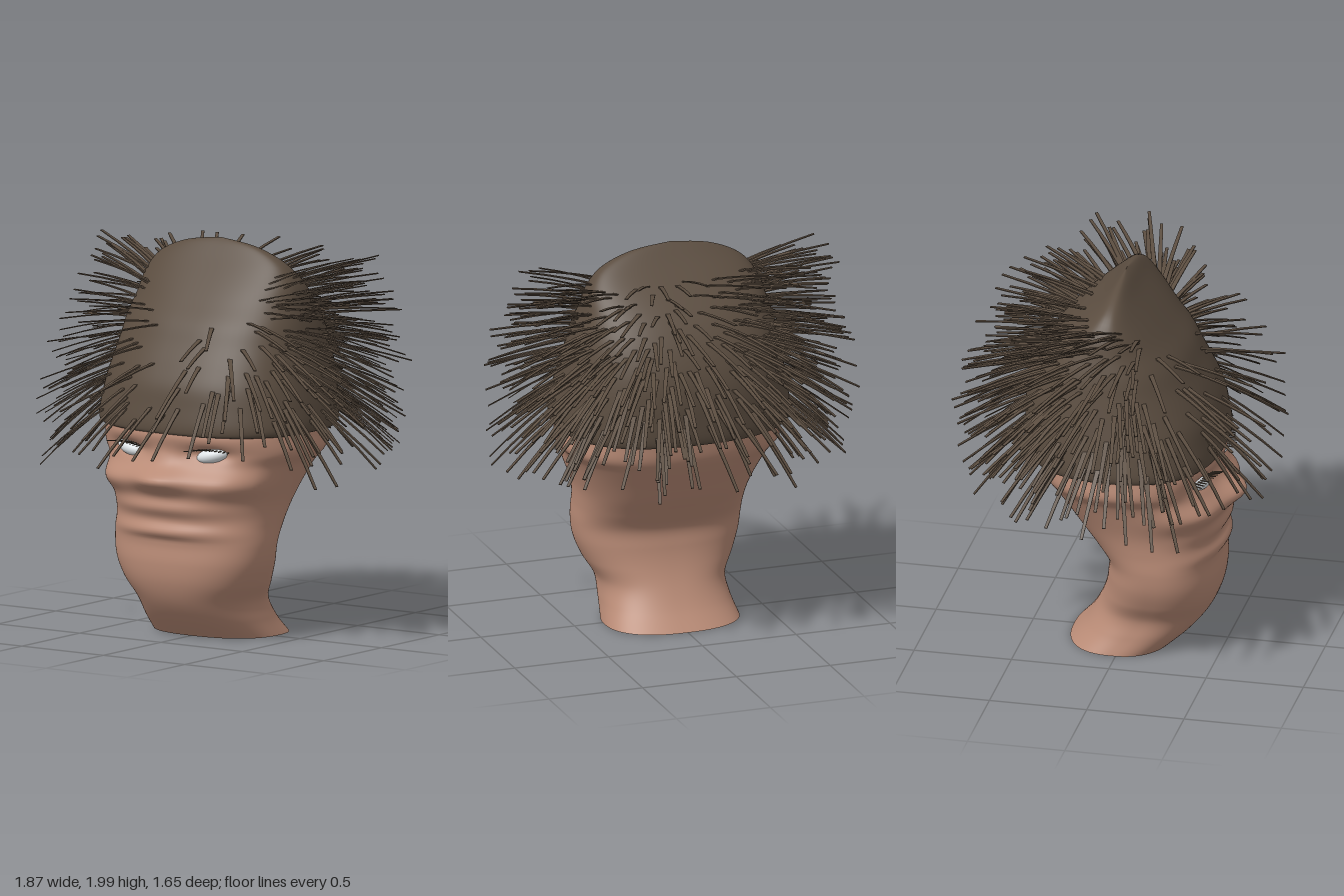
import * as THREE from 'three';
import { mergeGeometries } from 'three/addons/utils/BufferGeometryUtils.js';

const mat = (name, color, side = THREE.FrontSide) => {
  const m = new THREE.MeshStandardMaterial({ color, side });
  m.name = name;
  return m;
};

let seed = 7;
const rand = () => {
  seed = (seed * 16807) % 2147483647;
  return seed / 2147483647;
};

// Smooth interpolation through rows of [y, halfWidth, zFront, zBack]
function sampleRows(rows, t) {
  const i = Math.min(Math.floor(t), rows.length - 2), f = t - i;
  const at = k => rows[Math.max(0, Math.min(rows.length - 1, k))];
  const [a, b, c, d] = [at(i - 1), at(i), at(i + 1), at(i + 2)];
  return b.map((_, k) => 0.5 * (2 * b[k] + (c[k] - a[k]) * f
    + (2 * a[k] - 5 * b[k] + 4 * c[k] - d[k]) * f * f
    + (3 * b[k] - a[k] - 3 * c[k] + d[k]) * f * f * f));
}

// Point on the squarish oval section at angle a (0 = front, +x at 90 degrees)
function surfacePoint(rows, t, a, n) {
  const [y, w, zf, zb] = sampleRows(rows, t);
  const pw = v => Math.sign(v) * Math.pow(Math.abs(v), 2 / n);
  const mid = (zf + zb) / 2;
  return new THREE.Vector3(Math.max(w, 0) * pw(Math.sin(a)), y, mid + (zf - zb) / 2 * pw(Math.cos(a)));
}

function loft(rows, n, perRow, sides, shape = p => p) {
  const pos = [], idx = [], steps = (rows.length - 1) * perRow;
  for (let i = 0; i <= steps; i++)
    for (let j = 0; j < sides; j++)
      pos.push(...shape(surfacePoint(rows, i / perRow, j / sides * Math.PI * 2, n)));
  for (let i = 0; i < steps; i++)
    for (let j = 0; j < sides; j++) {
      const k = (j + 1) % sides, a = i * sides + j, b = i * sides + k;
      idx.push(a, b, a + sides, b, b + sides, a + sides);
    }
  const g = new THREE.BufferGeometry();
  g.setAttribute('position', new THREE.Float32BufferAttribute(pos, 3));
  g.setIndex(idx);
  g.computeVertexNormals();
  return g;
}

const headRows = [
  [0.01, 0.35, 0.24, -0.29], [0.1, 0.33, 0.34, -0.21], [0.2, 0.325, 0.42, -0.15],
  [0.3, 0.38, 0.465, -0.11], [0.4, 0.42, 0.48, -0.09], [0.5, 0.435, 0.475, -0.09],
  [0.6, 0.435, 0.475, -0.16], [0.7, 0.445, 0.475, -0.24], [0.8, 0.475, 0.475, -0.31],
  [0.9, 0.515, 0.465, -0.38], [0.97, 0.565, 0.46, -0.42], [1.05, 0.56, 0.48, -0.44],
  [1.12, 0.55, 0.46, -0.45],
];

const capRows = [
  [1.085, 0.5, 0.4, -0.4], [1.065, 0.57, 0.475, -0.47], [1.1, 0.6, 0.49, -0.495],
  [1.2, 0.59, 0.475, -0.505], [1.3, 0.57, 0.455, -0.51], [1.4, 0.55, 0.41, -0.5],
  [1.5, 0.53, 0.355, -0.47], [1.6, 0.51, 0.3, -0.42], [1.7, 0.48, 0.22, -0.345],
  [1.8, 0.45, 0.14, -0.24], [1.9, 0.37, 0.06, -0.12], [1.97, 0.21, 0.01, -0.05],
  [2.0, 0, -0.02, -0.02],
];

// Nose, cheeks, lips, bridge, eye sockets: [x, y, spreadX, spreadY, depth]
const features = [
  [0, 0.84, 0.15, 0.06, 0.09], [0, 0.81, 0.3, 0.075, 0.035],
  [0.34, 0.82, 0.17, 0.075, 0.055], [-0.34, 0.82, 0.17, 0.075, 0.055],
  [0, 0.69, 0.36, 0.045, 0.035], [0, 0.57, 0.32, 0.04, 0.032],
  [0, 0.53, 0.2, 0.015, -0.005], [0, 0.94, 0.06, 0.05, 0.02],
  [0.25, 0.975, 0.1, 0.035, -0.03], [-0.25, 0.975, 0.1, 0.035, -0.03],
];

function sculptFace(p) {
  if (p.z < 0.08) return p;
  const fade = Math.min(1, (p.z - 0.08) / 0.2);
  const { x, y } = p;
  for (const [fx, fy, sx, sy, d] of features) {
    const bump = fade * d * Math.exp(-(((x - fx) / sx) ** 2) - ((y - fy) / sy) ** 2);
    p.z += bump;
    p.x += bump * Math.sign(fx) * 0.4;
  }
  return p;
}

// Flat tapering strand pointing along dir, drooping slightly
function strand(root, dir, length, width, thick, droop) {
  const g = new THREE.BoxGeometry(width, thick, length, 1, 1, 3).translate(0, 0, length / 2);
  const p = g.attributes.position;
  for (let i = 0; i < p.count; i++) {
    const t = p.getZ(i) / length;
    p.setX(i, p.getX(i) * (1 - 0.35 * t));
    p.setY(i, p.getY(i) * (1 - 0.35 * t) - droop * t * t);
  }
  g.computeVertexNormals();
  const m = new THREE.Matrix4().lookAt(dir, new THREE.Vector3(), new THREE.Vector3(0, 1, 0));
  return g.applyMatrix4(m.setPosition(root));
}

function hairGeometry() {
  const strands = [], rings = 15, perRing = 46;
  for (let r = 0; r < rings; r++)
    for (let j = 0; j < perRing; j++) {
      const a = (j + rand()) / perRing * Math.PI * 2;
      const t = 2.2 + (r + rand()) / rings * 7.3;
      const root = surfacePoint(capRows, t, a, 2.5);
      const keep = rand();
      // bare front slope, narrowing towards the fringe
      if (root.z > -0.03 && Math.abs(root.x) < 0.42 - 0.9 * root.z) continue;
      if (keep > (Math.cos(a) > 0.55 ? 0.36 : 0.86)) continue;
      const h = (root.y - 1.1) / 0.75;
      const dir = new THREE.Vector3(root.x / 0.6, 0, (root.z + 0.01) / 0.5).normalize();
      dir.x += (rand() - 0.5) * 0.2;
      // upper strands sweep backwards
      dir.z += (rand() - 0.5) * 0.2 - Math.max(0, h - 0.6) * 1.1;
      dir.y = -0.85 + h * 1.3 + (rand() - 0.5) * 0.25;
      dir.normalize();
      const len = 0.3 + rand() * 0.15;
      if (root.y + dir.y * len > 1.99) dir.y = (1.99 - root.y) / len;
      root.addScaledVector(dir, -0.03);
      strands.push(strand(root, dir, len, 0.024, 0.007, 0.025));
    }
  return mergeGeometries(strands);
}

function lashGeometry(side) {
  const lashes = [];
  for (let i = 0; i < 11; i++) {
    const u = i / 10 * 2 - 1;
    const root = new THREE.Vector3(side * 0.25 + u * 0.09, 1.0 - 0.01 * u * u, 0.425 - 0.03 * side * u);
    const dir = new THREE.Vector3(u * 0.4 + side * 0.15, 0.05, 1).normalize();
    lashes.push(strand(root, dir, 0.06, 0.008, 0.005, 0));
  }
  return mergeGeometries(lashes);
}

export function createModel() {
  const group = new THREE.Group();
  const skin = mat('skin', 0xb98b76, THREE.DoubleSide);
  const brown = mat('brown hair', 0x5b4d40);
  const white = mat('eye white', 0xe6ebee);
  const add = (name, geometry, material) => {
    const m = new THREE.Mesh(geometry, material);
    m.name = name;
    group.add(m);
    return m;
  };

  // head shell, open at the neck
  add('head', loft(headRows, 2.4, 9, 120, sculptFace), skin);
  add('scalp', loft(capRows, 2.5, 5, 80), brown);
  add('hairStrands', hairGeometry(), brown);

  for (const side of [1, -1]) {
    const name = side > 0 ? 'left' : 'right';
    const eye = add(name + 'Eye', new THREE.SphereGeometry(0.085, 28, 18), white);
    eye.scale.set(1, 0.45, 0.55);
    eye.position.set(side * 0.25, 0.968, 0.405);
    eye.rotation.set(0, side * 0.25, side * 0.22);
    add(name + 'Lashes', lashGeometry(side), brown);
  }
  return group;
}
